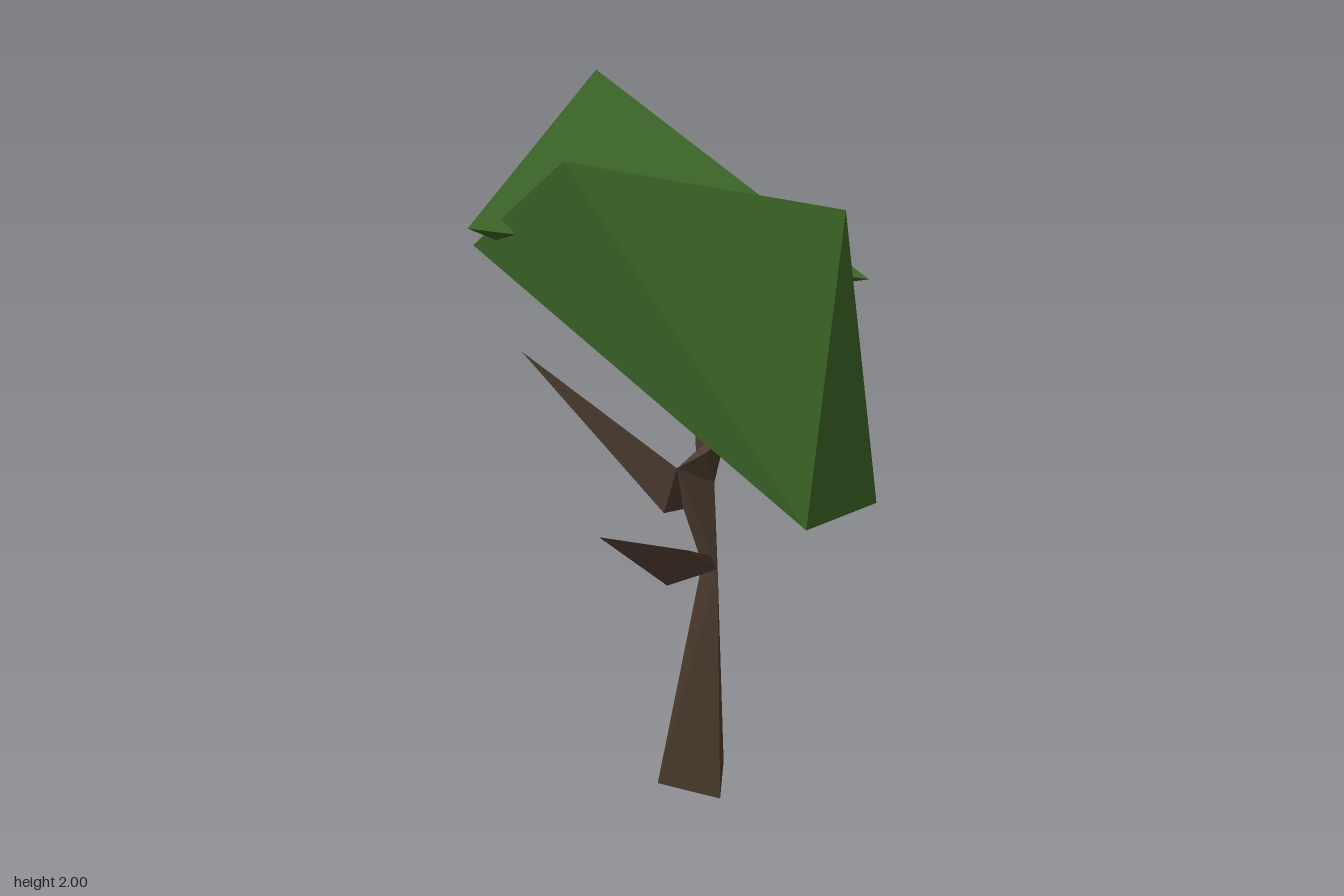
import * as THREE from 'three';
import { ConvexGeometry } from 'three/addons/geometries/ConvexGeometry.js';
import { mergeGeometries } from 'three/addons/utils/BufferGeometryUtils.js';

const bark = new THREE.MeshStandardMaterial({ color: 0x4e3d30 });
bark.name = 'bark brown';
const leaf = new THREE.MeshStandardMaterial({ color: 0x3b6526 });
leaf.name = 'leaf green';
for (const m of [bark, leaf]) m.flatShading = true;

// Faceted solid around a few corner points
const hull = (points) => new ConvexGeometry(points.map((p) => new THREE.Vector3(...p)));

// Limb: a chain of cross-sections, each pair joined by a faceted solid
function limb(name, sections) {
  const pieces = [];
  for (let i = 0; i + 1 < sections.length; i++) pieces.push(hull([...sections[i], ...sections[i + 1]]));
  const mesh = new THREE.Mesh(mergeGeometries(pieces), bark);
  mesh.name = name;
  return mesh;
}

function foliage(name, points) {
  const mesh = new THREE.Mesh(hull(points), leaf);
  mesh.name = name;
  return mesh;
}

export function createModel() {
  const tree = new THREE.Group();
  tree.name = 'tree';

  // Three-sided cross-sections of the trunk and the fork above it
  const base = [[0.025, 0.005, -0.31], [0.17, 0.005, -0.19], [0.235, 0, -0.365]];
  const neck = [[0.105, 0.78, -0.16], [0.135, 0.78, -0.12], [0.152, 0.78, -0.18]];
  const fork = [[0.02, 1.10, -0.10], [0.11, 1.06, -0.075], [0.07, 0.92, -0.21]];

  tree.add(
    limb('trunk', [base, neck]),
    // Stem bending forward to a blunt end under the leaves
    limb('mainBranch', [
      neck, fork,
      [[0.075, 1.17, -0.03], [0.115, 1.17, -0.03], [0.10, 1.19, -0.07]],
      [[0.15, 1.32, 0.095], [0.21, 1.29, 0.05], [0.175, 1.35, 0.02]],
    ]),
    limb('backRightBranch', [
      [fork[0], [0.0, 0.95, -0.15], fork[2]],
      [[-0.30, 1.33, -0.40]],
    ]),
    limb('frontRightBranch', [
      neck,
      [[-0.07, 0.90, 0.12], [0.0, 0.96, 0.07], [-0.03, 0.93, 0.03]],
      [[-0.30, 1.20, 0.36]],
    ]),
    limb('backTwig', [
      neck,
      [[0.11, 0.92, -0.21], [0.15, 0.92, -0.22], [0.14, 0.93, -0.255]],
      [[0.165, 1.25, -0.46]],
    ]),
  );

  // Two angular leaf masses that cut through each other
  tree.add(
    foliage('frontFoliage', [
      [-0.295, 2.0, 0.08], [0.41, 1.775, -0.01], [0.02, 1.43, 0.855],
      [0.405, 1.14, 0.28], [-0.397, 1.60, -0.47],
    ]),
    foliage('backFoliage', [
      [0.025, 1.89, -0.86], [0.20, 1.20, -0.845], [0.45, 1.62, 0.055], [-0.45, 1.73, -0.26],
    ]),
  );
  return tree;
}
